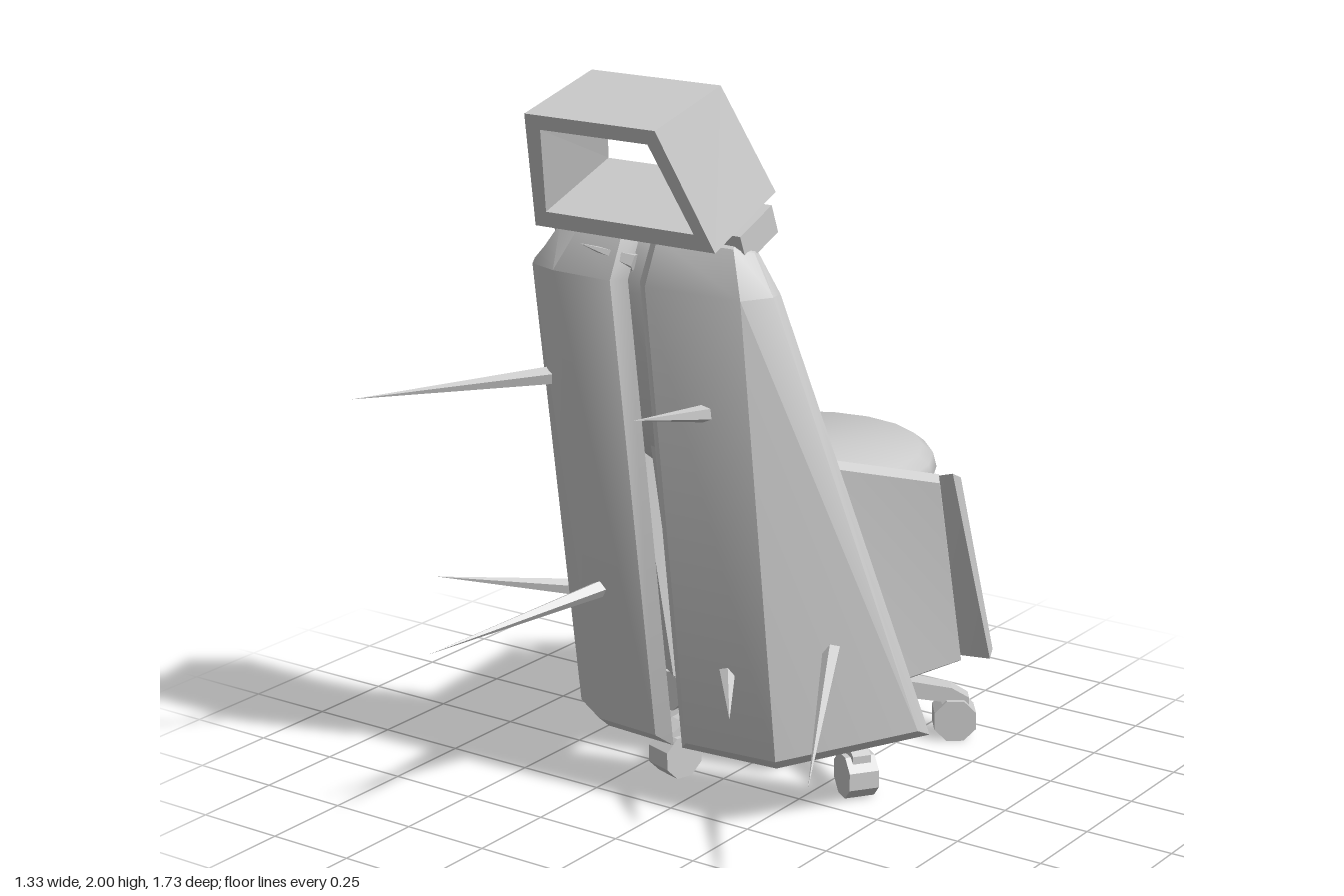
import * as THREE from 'three';
import { toCreasedNormals } from 'three/addons/utils/BufferGeometryUtils.js';

const V = (x, y, z) => new THREE.Vector3(x, y, z);
const smooth = new THREE.MeshStandardMaterial({ color: 0xcccccc });
const flat = new THREE.MeshStandardMaterial({ color: 0xcccccc, flatShading: true });

function add(parent, name, geo, mat = flat, pos = [0, 0, 0]) {
  const mesh = new THREE.Mesh(geo, mat);
  mesh.name = name;
  mesh.position.set(...pos);
  parent.add(mesh);
  return mesh;
}

// Non-indexed geometry from a list of four-corner faces
function fromQuads(quads) {
  const pts = quads.flatMap(([a, b, c, d]) => [a, b, c, a, c, d]);
  const geo = new THREE.BufferGeometry().setFromPoints(pts);
  geo.computeVertexNormals();
  return geo;
}

// Armour plate: grid of outer points (rows downward, columns left to right seen
// from outside), given thickness and a bevelled rim that widens to the back
function plate(grid, thick, bevel) {
  const R = grid.length - 1, C = grid[0].length - 1;
  const P = grid.map(row => row.map(p => V(...p)));
  const dir = (a, b) => a.clone().sub(b).normalize();
  const B = P.map((row, r) => row.map((p, c) => {
    const u = dir(row[Math.min(c + 1, C)], row[Math.max(c - 1, 0)]);
    const v = dir(P[Math.max(r - 1, 0)][c], P[Math.min(r + 1, R)][c]);
    const q = p.clone().addScaledVector(u.clone().cross(v).normalize(), -thick);
    if (c === 0) q.addScaledVector(dir(p, row[1]), bevel);
    if (c === C) q.addScaledVector(dir(p, row[C - 1]), bevel);
    if (r === 0) q.addScaledVector(dir(p, P[1][c]), bevel);
    if (r === R) q.addScaledVector(dir(p, P[R - 1][c]), bevel);
    return q;
  }));
  const quads = [];
  const rim = (r, c, s, d) => quads.push([P[r][c], B[r][c], B[s][d], P[s][d]]);
  for (let r = 0; r < R; r++) {
    for (let c = 0; c < C; c++) {
      quads.push([P[r][c], P[r + 1][c], P[r + 1][c + 1], P[r][c + 1]]);
      quads.push([B[r][c], B[r][c + 1], B[r + 1][c + 1], B[r + 1][c]]);
    }
    rim(r, 0, r + 1, 0);
    rim(r + 1, C, r, C);
  }
  for (let c = 0; c < C; c++) {
    rim(R, c, R, c + 1);
    rim(0, c + 1, 0, c);
  }
  return toCreasedNormals(fromQuads(quads), 0.6);
}

export function createModel() {
  const model = new THREE.Group();
  model.name = 'armouredChair';

  // Round cushions for seat and backrest
  const profile = [[0, -0.19], [0.2, -0.18], [0.31, -0.145], [0.36, -0.1], [0.375, -0.065],
    [0.365, -0.025], [0.335, 0], [0, 0]].map(p => new THREE.Vector2(...p));
  const cushion = toCreasedNormals(new THREE.LatheGeometry(profile, 20), 0.75);
  add(model, 'seat', cushion, smooth, [0, 0.87, -0.37]).scale.z = 1.06;
  const back = add(model, 'backrest', cushion, smooth, [0, 1.3, 0.15]);
  back.rotation.x = -THREE.MathUtils.degToRad(78);
  back.scale.set(0.95, 1, 0.98);

  // Column, under-seat mechanism and backrest strut
  add(model, 'column', new THREE.CylinderGeometry(0.035, 0.045, 0.58, 10), smooth, [0, 0.42, -0.38]);
  add(model, 'mechanism', new THREE.BoxGeometry(0.24, 0.07, 0.3), flat, [0, 0.67, -0.36]);
  add(model, 'strutBase', new THREE.BoxGeometry(0.12, 0.04, 0.42), flat, [0, 0.67, -0.04]);
  const strut = add(model, 'backStrut', new THREE.BoxGeometry(0.12, 0.62, 0.04), flat, [0, 0.95, 0.215]);
  strut.rotation.x = 0.2;

  // Five-armed base with casters
  const armShape = new THREE.Shape([[0, 0.15], [0.2, 0.145], [0.4, 0.115], [0.42, 0.06], [0.48, 0.06],
    [0.48, 0.125], [0.43, 0.155], [0.2, 0.2], [0, 0.215]].map(p => new THREE.Vector2(...p)));
  const arm = new THREE.ExtrudeGeometry(armShape, { depth: 1, bevelEnabled: false });
  const ap = arm.attributes.position;
  for (let i = 0; i < ap.count; i++)
    ap.setZ(i, (ap.getZ(i) - 0.5) * (0.09 - 0.08 * ap.getX(i)));
  const wheel = new THREE.CylinderGeometry(0.064, 0.064, 0.085, 8);
  wheel.rotateY(Math.PI / 8).rotateX(Math.PI / 2);
  for (let k = 0; k < 5; k++) {
    const leg = new THREE.Group();
    leg.name = 'baseLeg';
    leg.position.z = -0.38;
    leg.rotation.y = Math.PI + k * Math.PI * 0.4;
    add(leg, 'arm', arm);
    add(leg, 'caster', wheel, flat, [0.44, 0.06, 0]);
    model.add(leg);
  }
  add(model, 'hub', new THREE.CylinderGeometry(0.05, 0.06, 0.08, 10), flat, [0, 0.18, -0.38]);

  // Two halves of the large shell: one rounded, one creased
  add(model, 'shellRight', plate([
    [[-0.29, 1.59, 0.31], [-0.27, 1.6, 0.35], [-0.2, 1.605, 0.36], [-0.06, 1.605, 0.365]],
    [[-0.375, 1.49, 0.325], [-0.34, 1.49, 0.38], [-0.25, 1.49, 0.41], [-0.06, 1.49, 0.42]],
    [[-0.55, 0.25, -0.1], [-0.36, 0.21, 0.17], [-0.25, 0.2, 0.235], [-0.05, 0.2, 0.25]],
  ], 0.03, 0.035), smooth);
  add(model, 'shellLeft', plate([
    [[0.05, 1.605, 0.365], [0.28, 1.605, 0.36], [0.31, 1.59, 0.31]],
    [[0.05, 1.49, 0.42], [0.335, 1.49, 0.41], [0.38, 1.49, 0.33]],
    [[0.05, 0.2, 0.25], [0.335, 0.21, 0.245], [0.58, 0.25, -0.07]],
  ], 0.03, 0.035), smooth);

  // Side skirts and rear skirts, mirrored
  const pair = (name, s, top, bottom) => {
    const row = pts => {
      const out = pts.map(([x, y, z]) => [s * x, y, z]);
      return s > 0 ? out : out.reverse();
    };
    add(model, name, plate([row(top), row(bottom)], 0.025, 0.02), smooth);
  };
  for (const s of [1, -1]) {
    pair('sideSkirt', s, [[0.25, 0.98, 0.09], [0.435, 0.83, -0.4]],
      [[0.265, 0.24, -0.1], [0.41, 0.26, -0.58]]);
    pair('rearSkirt', s, s > 0
      ? [[0.455, 0.83, -0.48], [0.2, 0.7, -0.75]] : [[0.465, 0.83, -0.48], [0.16, 0.7, -0.75]],
    s > 0 ? [[0.465, 0.28, -0.66], [0.13, 0.17, -0.86]] : [[0.4, 0.28, -0.66], [0.11, 0.17, -0.86]]);
  }

  // Hollow tapered headrest frame
  const ring = (bx, by, bz, tx, ty, tz) => [V(-bx, by, bz), V(bx, by, bz), V(tx, ty, tz), V(-tx, ty, tz)];
  const fo = ring(0.28, 1.61, 0.44, 0.2, 1.93, 0.58), bo = ring(0.285, 1.72, 0.18, 0.2, 2, 0.3);
  const fi = ring(0.23, 1.655, 0.46, 0.165, 1.89, 0.562), bi = ring(0.23, 1.75, 0.193, 0.165, 1.96, 0.283);
  const frame = [];
  for (let i = 0; i < 4; i++) {
    const j = (i + 1) % 4;
    frame.push([fo[i], bo[i], bo[j], fo[j]], [fi[i], fi[j], bi[j], bi[i]],
      [fo[i], fo[j], fi[j], fi[i]], [bo[i], bi[i], bi[j], bo[j]]);
  }
  add(model, 'headrest', fromQuads(frame));
  const bracket = add(model, 'headrestBracket', new THREE.BoxGeometry(0.6, 0.08, 0.15), flat, [0, 1.63, 0.275]);
  bracket.rotation.x = 0.38;

  // Spikes: base point, tip point
  const spikes = [
    [[-0.34, 1.18, 0.36], [-0.66, 1.155, 0.74]],
    [[-0.41, 0.52, 0.14], [-0.66, 0.58, 0.42]],
    [[-0.2, 0.6, 0.29], [-0.4, 0.515, 0.77]],
    [[0.2, 1.17, 0.37], [0.335, 1.29, 0.86]],
    [[0.44, 0.51, 0.14], [0.67, 0.335, 0.6]],
    [[0.2, 0.44, 0.27], [0.31, 0.38, 0.42]],
    [[-0.05, 1.54, 0.37], [-0.17, 1.57, 0.4]],
  ];
  for (const [a, b] of spikes) {
    const base = V(...a), d = V(...b).sub(base), len = d.length();
    const cone = new THREE.ConeGeometry(0.025, len + 0.03, 5).translate(0, len / 2 - 0.015, 0);
    add(model, 'spike', cone, flat, a).quaternion.setFromUnitVectors(V(0, 1, 0), d.normalize());
  }
  return model;
}
